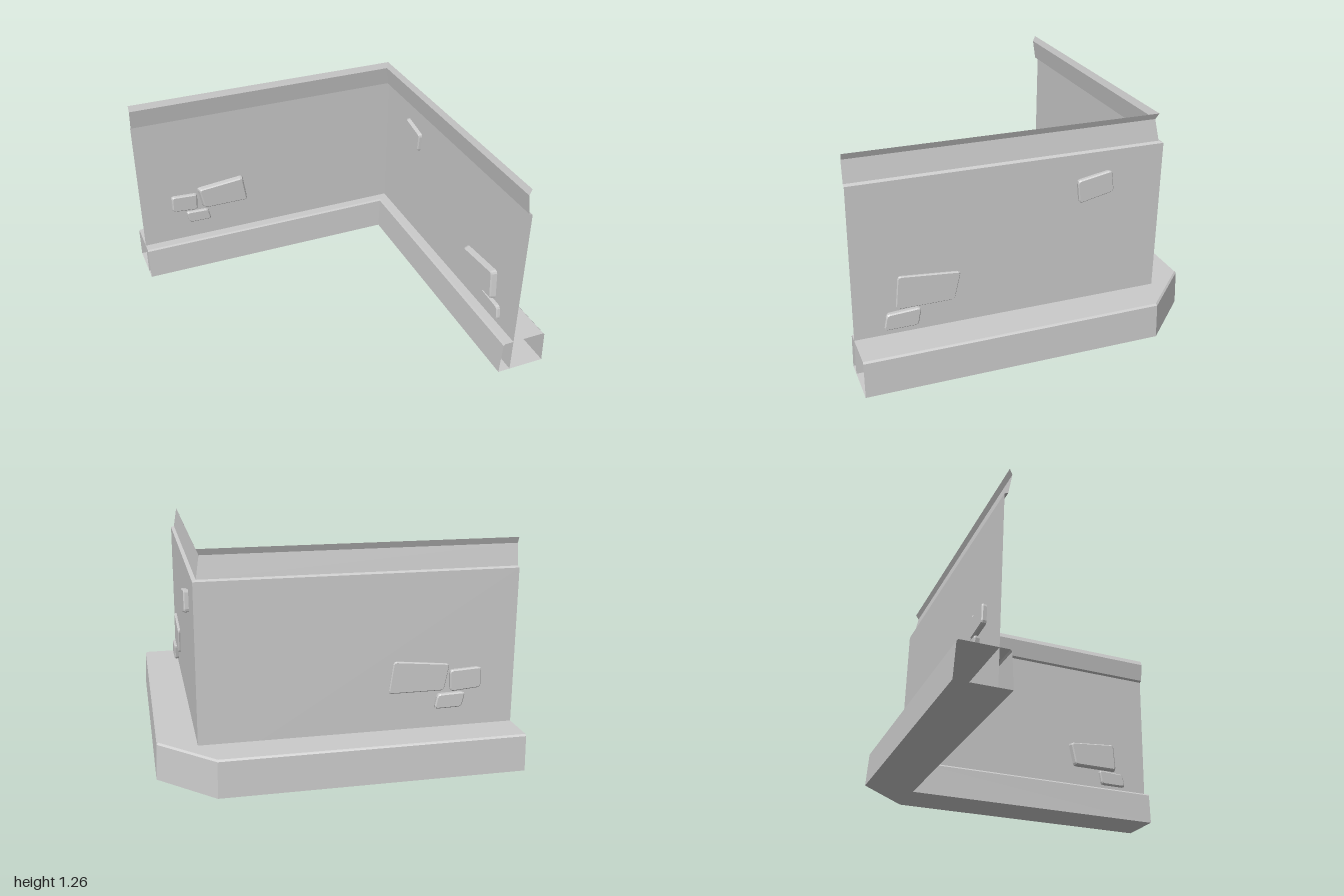
import * as THREE from 'three';

const material = new THREE.MeshStandardMaterial({ color: 0xcccccc, side: THREE.DoubleSide });

// L-shaped path at distance d from the centre lines, with its corner cut by k
const path = ([d, y, k = 0]) => [[-1, y, -d], [d - k, y, -d], [d, y, k - d], [d, y, 1]];

// Sweep a profile of [distance, height, corner cut] along the L, flat shaded
function sweep(name, profile) {
  const positions = [];
  for (let i = 0; i < profile.length - 1; i++) {
    const a = path(profile[i]), b = path(profile[i + 1]);
    for (let j = 0; j < 3; j++) {
      const cutA = j !== 1 || profile[i][2], cutB = j !== 1 || profile[i + 1][2];
      if (cutA) positions.push(...a[j], ...b[j], ...a[j + 1]);
      if (cutB) positions.push(...a[j + 1], ...b[j], ...b[j + 1]);
    }
  }
  const geometry = new THREE.BufferGeometry();
  geometry.setAttribute('position', new THREE.Float32BufferAttribute(positions, 3));
  geometry.computeVertexNormals();
  const mesh = new THREE.Mesh(geometry, material);
  mesh.name = name;
  return mesh;
}

// Four-sided stone with clipped corners, narrowing towards local +z
function stone(name, corners, depth) {
  const points = corners.map((c) => new THREE.Vector2(...c));
  const shape = new THREE.Shape();
  points.forEach((p, i) => {
    const toward = (q) => p.clone().add(q.clone().sub(p).setLength(0.018));
    const start = toward(points[(i + 3) % 4]), end = toward(points[(i + 1) % 4]);
    if (i === 0) shape.moveTo(start.x, start.y);
    else shape.lineTo(start.x, start.y);
    shape.quadraticCurveTo(p.x, p.y, end.x, end.y);
  });
  shape.closePath();
  const bevel = 0.007;
  const geometry = new THREE.ExtrudeGeometry(shape, {
    depth: depth - 2 * bevel, curveSegments: 2,
    bevelSize: bevel, bevelThickness: bevel, bevelOffset: -bevel, bevelSegments: 1,
  });
  geometry.translate(0, 0, bevel);

  // Taper about the middle of the stone
  const centre = points.reduce((s, p) => s.add(p), new THREE.Vector2()).divideScalar(4);
  const pos = geometry.attributes.position;
  for (let i = 0; i < pos.count; i++) {
    const s = 1 - 0.08 * pos.getZ(i) / depth;
    pos.setX(i, centre.x + (pos.getX(i) - centre.x) * s);
    pos.setY(i, centre.y + (pos.getY(i) - centre.y) * s);
  }
  geometry.computeVertexNormals();
  const mesh = new THREE.Mesh(geometry, material);
  mesh.name = name;
  return mesh;
}

export function createModel() {
  const model = new THREE.Group();
  model.name = 'cornerWall';

  // Thin wall, flared coping and hollow plinth with a cut outer corner
  model.add(sweep('wall', [[0.777, 0], [0.777, 1.1]]));
  model.add(sweep('coping', [[0.777, 1.1], [0.757, 1.108], [0.737, 1.23], [0.752, 1.265]]));
  model.add(sweep('plinth', [
    [0.777, 0.21], [0.982, 0.21, 0.29], [0.991, 0.2, 0.295], [1, 0, 0.3],
    [0.7, 0], [0.712, 0.2], [0.72, 0.21], [0.777, 0.21],
  ]));

  // Stones through the back wall: corners as [x, y], then outer distance
  const backStones = [
    [[[-0.62, 0.58], [-0.295, 0.612], [-0.268, 0.425], [-0.59, 0.425]], 0.792],
    [[[-0.8, 0.555], [-0.615, 0.545], [-0.62, 0.42], [-0.8, 0.435]], 0.805],
    [[[-0.71, 0.415], [-0.548, 0.41], [-0.53, 0.325], [-0.69, 0.328]], 0.808],
  ];
  for (const [corners, outer] of backStones) {
    const mesh = stone('backStone', corners, 0.05);
    mesh.position.z = -outer;
    model.add(mesh);
  }

  // Stones through the side wall: corners as [z, y], then outer distance
  const sideStones = [
    [[[-0.255, 0.955], [-0.46, 0.993], [-0.477, 0.865], [-0.27, 0.82]], 0.805],
    [[[0.755, 0.557], [0.402, 0.525], [0.44, 0.357], [0.772, 0.357]], 0.792],
    [[[0.825, 0.345], [0.63, 0.356], [0.65, 0.25], [0.842, 0.25]], 0.806],
  ];
  for (const [corners, outer] of sideStones) {
    const mesh = stone('sideStone', corners, 0.05);
    mesh.rotation.y = -Math.PI / 2;
    mesh.position.x = outer;
    model.add(mesh);
  }
  return model;
}
